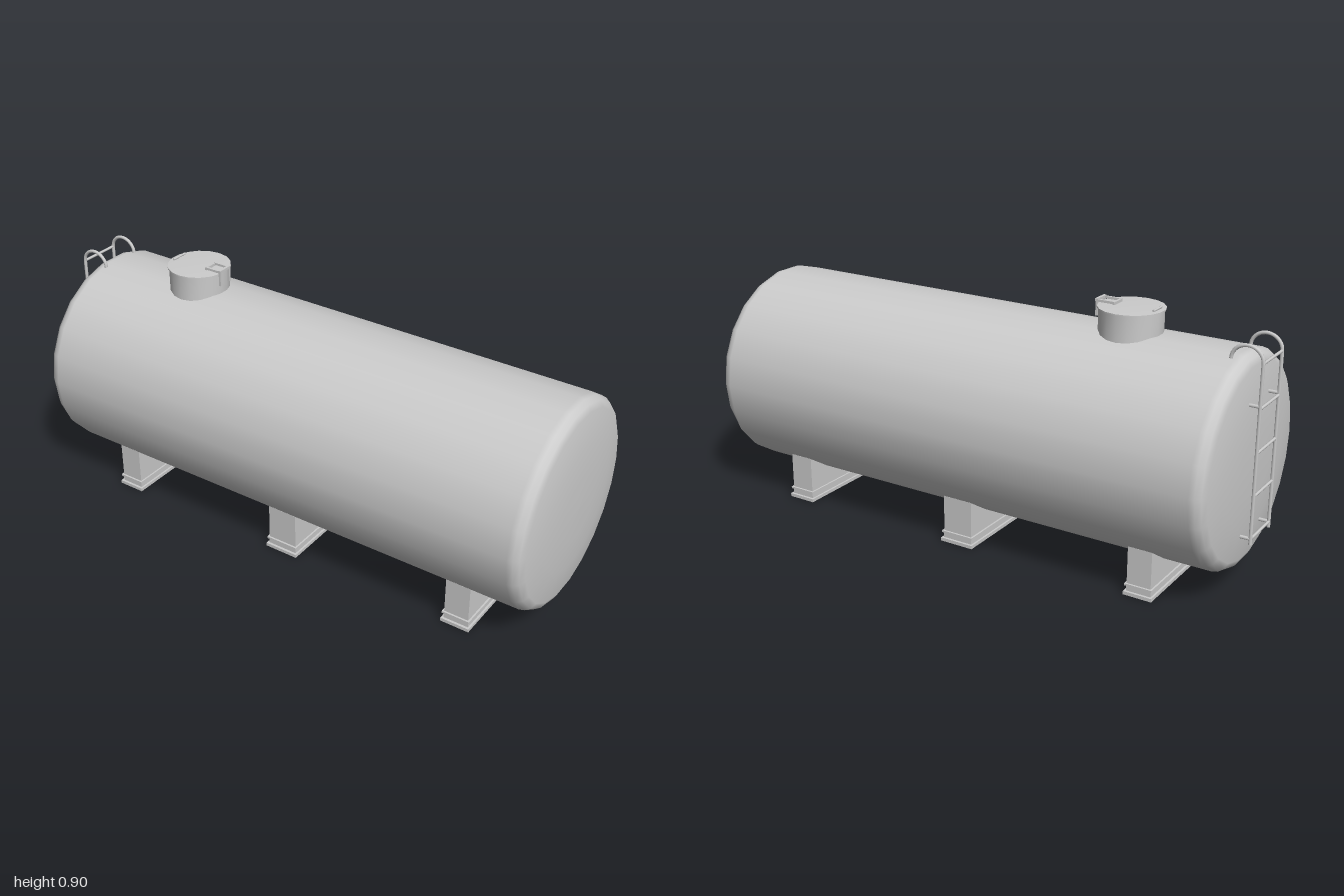
import * as THREE from 'three';
import { toCreasedNormals } from 'three/addons/utils/BufferGeometryUtils.js';

const material = new THREE.MeshStandardMaterial({ color: 0xcccccc, side: THREE.DoubleSide });
const V = (x, y, z) => new THREE.Vector3(x, y, z);

function add(parent, name, geometry, x = 0, y = 0, z = 0) {
  const mesh = new THREE.Mesh(geometry, material);
  mesh.name = name;
  mesh.position.set(x, y, z);
  parent.add(mesh);
  return mesh;
}

// Straight round bar between two points
function bar(parent, name, a, b, radius) {
  const d = b.clone().sub(a);
  const mesh = add(parent, name, new THREE.CylinderGeometry(radius, radius, d.length(), 8));
  mesh.position.copy(a).addScaledVector(d, 0.5);
  mesh.quaternion.setFromUnitVectors(V(0, 1, 0), d.normalize());
  return mesh;
}

function lathe(points, sides) {
  return new THREE.LatheGeometry(points.map(([r, y]) => new THREE.Vector2(r, y)), sides);
}

// Horizontal vessel with rounded shoulders and gently dished ends
function buildTank(parent) {
  const half = [[0.365, 0.915], [0.361, 0.934], [0.349, 0.951], [0.328, 0.962], [0.22, 0.975], [0.11, 0.98], [0, 0.981]];
  const profile = [...half.map(([r, x]) => [r, -x]).reverse(), ...half];
  const geometry = lathe(profile, 22);
  geometry.rotateZ(-Math.PI / 2);
  add(parent, 'tank', geometry, 0.016, 0.445, 0);
}

// Saddle block with a stepped foot
function buildSupport(x, width) {
  const support = new THREE.Group();
  support.name = 'support';
  support.position.x = x;
  const layers = [
    ['footPlate', width + 0.016, 0, 0.012, 0.25],
    ['footStep', width + 0.002, 0.012, 0.034, 0.241],
    ['footLip', width + 0.012, 0.032, 0.039, 0.247],
    ['saddle', width, 0.039, 0.17, 0.24],
  ];
  for (const [name, w, y0, y1, hz] of layers) {
    add(support, name, new THREE.BoxGeometry(w, y1 - y0, hz * 2), 0, (y0 + y1) / 2, 0);
  }
  return support;
}

// Ladder with rails hooked over the tank's shoulder
function buildLadder() {
  const ladder = new THREE.Group();
  ladder.name = 'ladder';
  const r = 0.006, x = -0.991, top = 0.8;
  for (const z of [-0.076, 0.076]) {
    bar(ladder, 'rail', V(x, 0.2, z), V(x, top, z), r);
    const hook = [];
    for (let i = 0; i <= 10; i++) {
      const a = Math.PI * (1 - i / 10);
      hook.push(V(x + 0.052 + 0.052 * Math.cos(a), top + 0.049 * Math.sin(a), z));
    }
    add(ladder, 'railHook', new THREE.TubeGeometry(new THREE.CatmullRomCurve3(hook), 20, r, 8));
    for (const y of [0.22, 0.662]) bar(ladder, 'bracket', V(x, y, z), V(-0.935, y, z), r);
  }
  for (let i = 0; i < 5; i++) {
    const y = 0.22 + i * 0.145;
    bar(ladder, 'rung', V(x, y, -0.076), V(x, y, 0.076), 0.005);
  }
  return ladder;
}

// Manhole neck with lid, hinge and handle
function buildManhole() {
  const manhole = new THREE.Group();
  manhole.name = 'manhole';
  manhole.position.set(-0.508, 0, 0);
  add(manhole, 'neck', toCreasedNormals(new THREE.CylinderGeometry(0.107, 0.107, 0.1, 18), 0.6), 0, 0.832, 0);
  const lid = lathe([[0, 0.88], [0.112, 0.88], [0.112, 0.885], [0.09, 0.886], [0, 0.887]], 18);
  add(manhole, 'lid', toCreasedNormals(lid, 0.6));

  // hinge: two bent straps joined by a cross plate
  for (const z of [-0.024, 0.024]) {
    add(manhole, 'hingeArm', new THREE.BoxGeometry(0.066, 0.008, 0.008), 0.082, 0.893, z);
    add(manhole, 'hingeLeg', new THREE.BoxGeometry(0.008, 0.054, 0.008), 0.113, 0.869, z);
  }
  add(manhole, 'hingePin', new THREE.BoxGeometry(0.01, 0.009, 0.058), 0.113, 0.895, 0);
  add(manhole, 'hingePlate', new THREE.BoxGeometry(0.008, 0.012, 0.054), 0.052, 0.89, 0);

  // lifting handle on the opposite side
  bar(manhole, 'handle', V(-0.091, 0.89, -0.03), V(-0.091, 0.89, 0.03), 0.004);
  return manhole;
}

export function createModel() {
  const model = new THREE.Group();
  model.name = 'storageTank';
  buildTank(model);
  for (const [x, width] of [[-0.69, 0.086], [0.013, 0.112], [0.716, 0.09]]) {
    model.add(buildSupport(x, width));
  }
  model.add(buildLadder(), buildManhole());
  return model;
}
